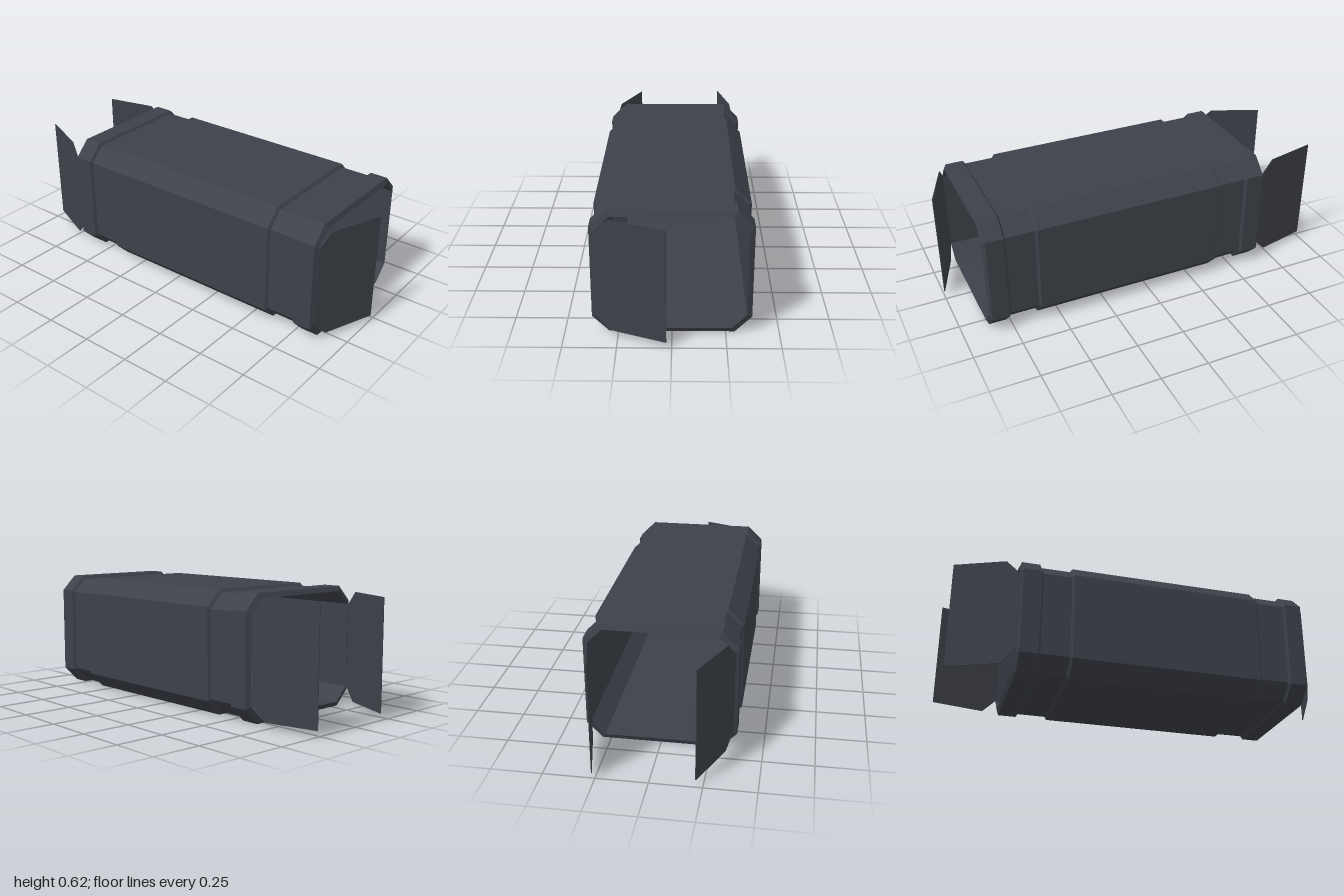
import * as THREE from 'three';

const slate = new THREE.MeshStandardMaterial({ color: 0x3d4149 });
slate.name = 'dark slate';

const MID_Y = 0.31;

// Chamfered rectangle, counter-clockwise seen from +z, inset from the widest outline
function outline(inset) {
  const w = 0.372 - inset, h = MID_Y - inset, c = 0.08 - 0.4 * inset;
  return [[w, c - h], [w, h - c], [w - c, h], [c - w, h], [-w, h - c], [-w, c - h], [c - w, -h], [w - c, -h]];
}

// Flat-shaded skin through a list of [z, inset] rings running toward -z outside, +z inside
function skin(rings) {
  const pos = [];
  const sections = rings.map(([z, inset]) => outline(inset).map(([x, y]) => [x, y + MID_Y, z]));
  for (let i = 0; i < sections.length - 1; i++) {
    for (let j = 0; j < 8; j++) {
      const k = (j + 1) % 8;
      const a = sections[i][j], b = sections[i][k], c = sections[i + 1][k], d = sections[i + 1][j];
      pos.push(...a, ...d, ...c, ...a, ...c, ...b);
    }
  }
  const geo = new THREE.BufferGeometry();
  geo.setAttribute('position', new THREE.Float32BufferAttribute(pos, 3));
  geo.computeVertexNormals();
  return geo;
}

// Thin door panel from a hinge point to a free edge, given in plan as [x, z]
function doorPanel(name, hinge, free) {
  const dx = free[0] - hinge[0], dz = free[1] - hinge[1];
  const len = Math.hypot(dx, dz), low = 0.028, high = 0.592, cut = 0.075, t = 0.004;
  const shape = new THREE.Shape([
    [0, low + cut], [cut, low], [len, low], [len, high], [cut, high], [0, high - cut],
  ].map(([x, y]) => new THREE.Vector2(x, y)));
  const geo = new THREE.ExtrudeGeometry(shape, { depth: t, bevelEnabled: false });
  geo.translate(0, 0, -t / 2);
  const mesh = new THREE.Mesh(geo, slate);
  mesh.position.set(hinge[0], 0, hinge[1]);
  mesh.rotation.y = Math.atan2(-dz, dx);
  mesh.name = name;
  return mesh;
}

export function createModel() {
  const group = new THREE.Group();
  group.name = 'openContainer';
  const add = (name, rings) => {
    const mesh = new THREE.Mesh(skin(rings), slate);
    mesh.name = name;
    group.add(mesh);
  };
  const recess = 0.014, inner = 0.025;

  // Outer shell, front to back, with stepped bands
  add('frontCollar', [[0.87, inner], [0.858, 0], [0.768, 0], [0.758, recess]]);
  add('frontRecess', [[0.758, recess], [0.611, recess]]);
  add('mainBody', [[0.611, recess], [0.6, 0], [-0.388, 0], [-0.398, recess]]);
  add('rearRecess', [[-0.398, recess], [-0.546, recess]]);
  add('rearCollar', [[-0.546, recess], [-0.556, 0], [-0.65, 0], [-0.662, inner]]);

  // Straight inner wall, facing inward
  add('innerLining', [[-0.662, inner], [0.87, inner]]);

  // Open doors at both ends
  group.add(doorPanel('frontDoor', [-0.353, 0.868], [-0.025, 0.998]));
  group.add(doorPanel('rearRightDoor', [-0.353, -0.662], [-0.215, -0.985]));
  group.add(doorPanel('rearLeftDoor', [0.342, -0.66], [0.265, -1]));
  return group;
}
